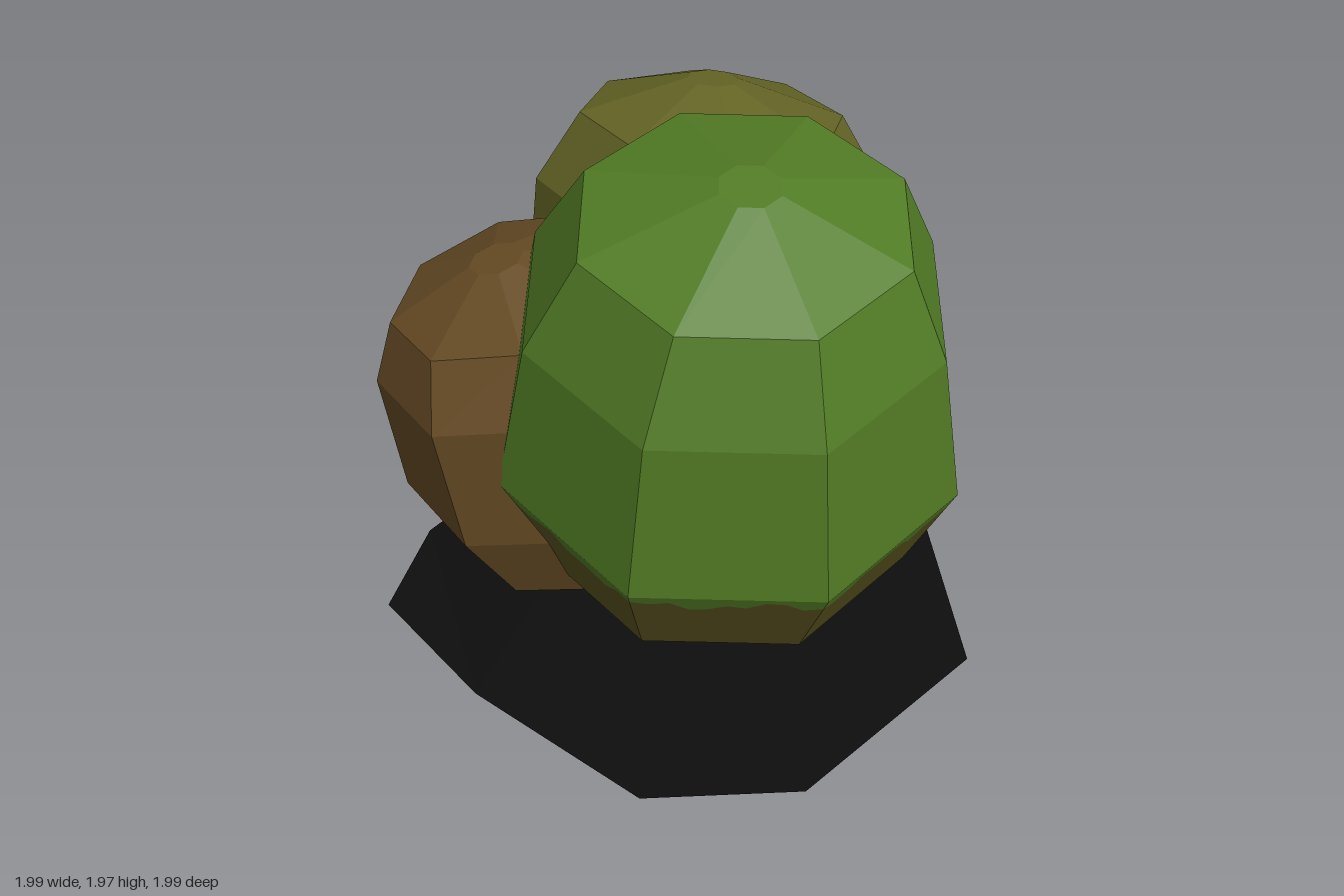
import * as THREE from 'three';

const mat = (name, color) =>
  new THREE.MeshStandardMaterial({ name, color, side: THREE.DoubleSide });

const SIDES = 8;
const STEPS = 10; // points along each side of the ragged colour border

// Flat-faced mesh from a list of quads (four corners each, counter-clockwise)
function quadMesh(name, quads, material) {
  const pos = [];
  for (const [a, b, c, d] of quads) {
    for (const p of [a, b, c, a, c, d]) pos.push(p.x, p.y, p.z);
  }
  const geo = new THREE.BufferGeometry();
  geo.setAttribute('position', new THREE.Float32BufferAttribute(pos, 3));
  geo.computeVertexNormals();
  const mesh = new THREE.Mesh(geo, material);
  mesh.name = name;
  return mesh;
}

// Leaning eight-sided foliage clump, open below.
// rings: [centre x, centre y, centre z, radius] from bottom to top
function clump({ name, rings, turn, slopeX, slopeZ, upper, lower }) {
  const group = new THREE.Group();
  group.name = name;
  const loops = rings.map(([cx, cy, cz, r]) => {
    const loop = [];
    for (let i = 0; i <= SIDES; i++) {
      const a = THREE.MathUtils.degToRad(turn + (i % SIDES) * 360 / SIDES);
      const dx = r * Math.cos(a), dz = r * Math.sin(a);
      loop.push(new THREE.Vector3(cx + dx, cy + slopeX * dx + slopeZ * dz, cz + dz));
    }
    return loop;
  });

  const leafQuads = [], skirtQuads = [];
  for (let k = 0; k < loops.length - 1; k++) {
    const lo = loops[k], hi = loops[k + 1];
    for (let i = 0; i < SIDES; i++) {
      if (k > 0 || !lower) {
        leafQuads.push([lo[i + 1], lo[i], hi[i], hi[i + 1]]);
        continue;
      }
      // Lowest band: ragged border between the skirt and the leaves
      const column = (j) => {
        const t = j / STEPS, n = (i * STEPS + j) % (SIDES * STEPS);
        const bottom = lo[i].clone().lerp(lo[i + 1], t);
        const top = hi[i].clone().lerp(hi[i + 1], t);
        const edge = 0.85 + 0.06 * Math.sin(n * 0.9) + 0.05 * Math.sin(n * 2.3);
        return { bottom, top, border: bottom.clone().lerp(top, edge) };
      };
      for (let j = 0; j < STEPS; j++) {
        const a = column(j), b = column(j + 1);
        skirtQuads.push([b.bottom, a.bottom, a.border, b.border]);
        leafQuads.push([b.border, a.border, a.top, b.top]);
      }
    }
  }
  // Small flat cap
  const top = loops[loops.length - 1];
  for (let i = 1; i < SIDES - 1; i += 2) {
    leafQuads.push([top[0], top[i + 2], top[i + 1], top[i]]);
  }
  group.add(quadMesh(name + 'Leaves', leafQuads, upper));
  if (lower) group.add(quadMesh(name + 'Skirt', skirtQuads, lower));
  return group;
}

export function createModel() {
  const model = new THREE.Group();
  model.name = 'bush';
  const green = mat('leaf green', 0x527c25);
  const olive = mat('olive', 0x656526);
  const brown = mat('brown', 0x664b25);
  const darkOlive = mat('dark olive', 0x59521f);
  const black = mat('shadow black', 0x0d0d0d);

  model.add(clump({
    name: 'frontClump', turn: 22.5, slopeX: 0.107, slopeZ: -0.14,
    upper: green, lower: darkOlive,
    rings: [
      [-0.08, 0.53, 0.17, 0.67], [-0.12, 0.93, 0.24, 0.80],
      [-0.19, 1.50, 0.33, 0.69], [-0.21, 1.81, 0.39, 0.53], [-0.23, 1.95, 0.43, 0.1],
    ],
  }));
  model.add(clump({
    name: 'leftClump', turn: 35, slopeX: -0.17, slopeZ: 0.06,
    upper: olive, lower: brown,
    rings: [
      [0.26, 0.545, -0.28, 0.575], [0.34, 0.895, -0.325, 0.655],
      [0.36, 1.41, -0.33, 0.61], [0.39, 1.65, -0.35, 0.46], [0.42, 1.765, -0.38, 0.09],
    ],
  }));
  model.add(clump({
    name: 'rightClump', turn: 34, slopeX: 0.2, slopeZ: 0.14,
    upper: brown,
    rings: [
      [-0.28, 0.42, -0.22, 0.51], [-0.36, 0.71, -0.28, 0.59],
      [-0.44, 1.15, -0.34, 0.55], [-0.51, 1.345, -0.385, 0.40], [-0.54, 1.45, -0.41, 0.09],
    ],
  }));

  // Flat ground patch
  const outline = [
    [0.22, -1], [0.72, -0.91], [0.99, -0.47], [0.95, 0.22], [0.35, 0.98],
    [-0.5, 0.99], [-0.91, 0.63], [-1, -0.11], [-0.95, -0.68], [-0.59, -0.9],
  ].map(([x, z]) => new THREE.Vector2(x, -z));
  const patchGeo = new THREE.ShapeGeometry(new THREE.Shape(outline));
  patchGeo.rotateX(-Math.PI / 2);
  const patch = new THREE.Mesh(patchGeo, black);
  patch.name = 'groundPatch';
  model.add(patch);

  return model;
}
